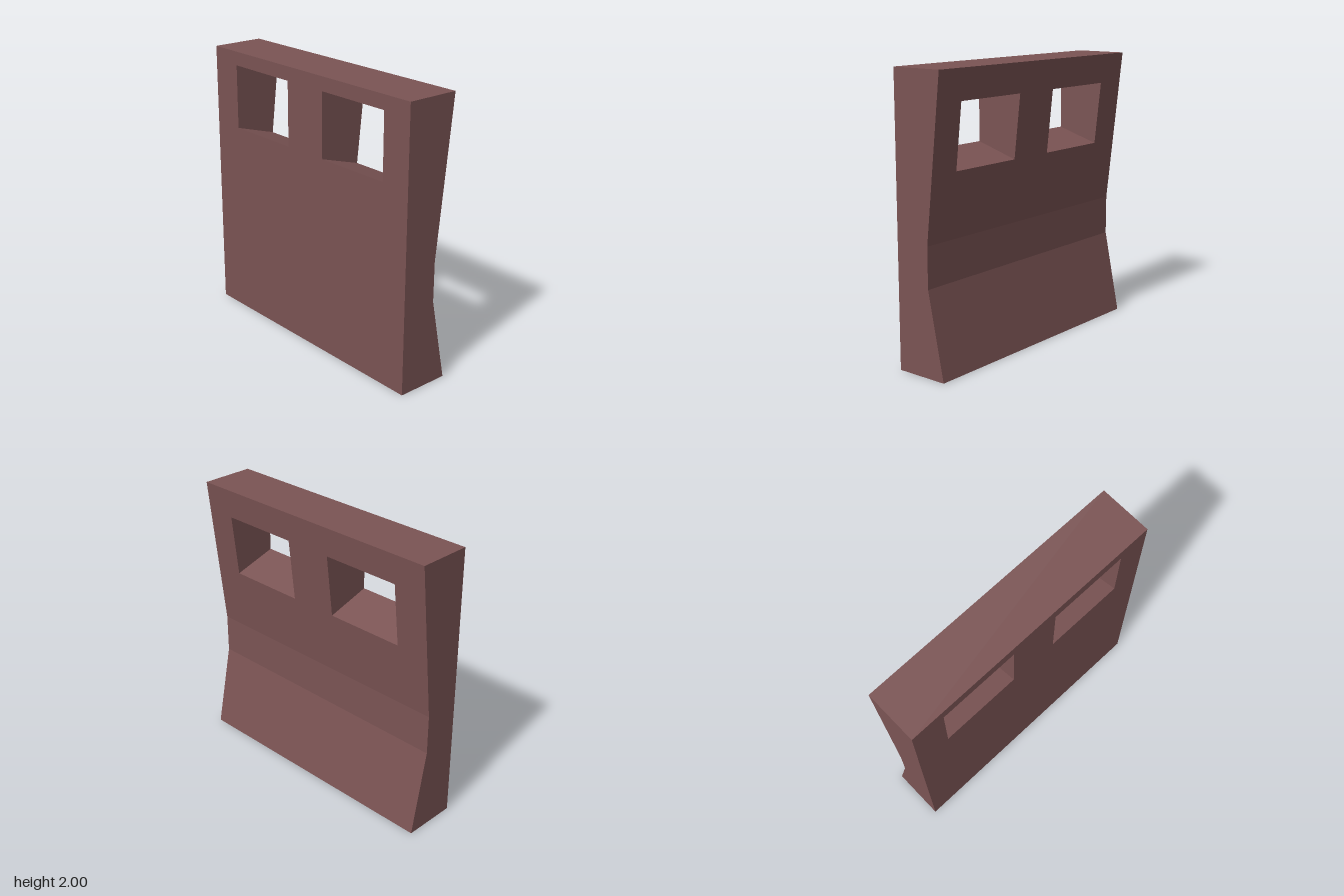
import * as THREE from 'three';
import { mergeGeometries } from 'three/addons/utils/BufferGeometryUtils.js';

const HALF = 1, FRONT = 0.193;
// side profile of the back face as [y, z], bottom to top
const BACK = [[0, -0.193], [0.6, -0.07], [0.885, -0.07], [2, -0.193]];
const WINDOWS = [[-0.755, -0.17], [0.19, 0.775]];
const SILL = [1.435, 1.34], HEAD = [1.9, 1.79]; // height at front, at back

// z of the leaning upper part of the back
const leanZ = (y) => {
  const [[y0, z0], [y1, z1]] = BACK.slice(2);
  return z0 + (z1 - z0) * (y - y0) / (y1 - y0);
};

// flat four-sided face, corners counterclockwise from outside
function quad(a, b, c, d) {
  const g = new THREE.BufferGeometry();
  g.setAttribute('position', new THREE.Float32BufferAttribute([a, b, c, a, c, d].flat(), 3));
  return g;
}

// non-indexed positions only, so every face stays flat
function plain(geometry) {
  const g = geometry.toNonIndexed();
  g.deleteAttribute('uv');
  g.deleteAttribute('normal');
  return g;
}

const rect = (Type, x0, x1, y0, y1) => new Type(
  [[x0, y0], [x1, y0], [x1, y1], [x0, y1]].map(([x, y]) => new THREE.Vector2(x, y)));

// upright face pierced by both windows; side 0 is front, 1 is back
function piercedFace(y0, side) {
  const shape = rect(THREE.Shape, -HALF, HALF, y0, 2);
  WINDOWS.forEach(([a, b]) => shape.holes.push(rect(THREE.Path, a, b, SILL[side], HEAD[side])));
  const g = new THREE.ShapeGeometry(shape);
  if (side) g.scale(-1, 1, 1).index.array.reverse(); // mirrored below to face back
  const p = g.attributes.position;
  for (let i = 0; i < p.count; i++) {
    if (side) p.setX(i, -p.getX(i));
    p.setZ(i, side ? leanZ(p.getY(i)) : FRONT);
  }
  return plain(g);
}

function finish(parts) {
  const g = mergeGeometries(parts);
  g.computeVertexNormals();
  return g;
}

export function createModel() {
  const group = new THREE.Group();
  group.name = 'wallPanel';
  const material = new THREE.MeshStandardMaterial({ color: 0x7b5454 });
  material.name = 'dull reddish brown';
  const add = (name, parts) => {
    const mesh = new THREE.Mesh(finish(parts), material);
    mesh.name = name;
    group.add(mesh);
  };

  // front and upper back, each with two window openings
  add('frontFace', [piercedFace(0, 0)]);
  add('upperBackFace', [piercedFace(BACK[2][0], 1)]);

  // splayed foot and upright waist on the back
  add('lowerBackFaces', [0, 1].map((i) => {
    const [[y0, z0], [y1, z1]] = BACK.slice(i, i + 2);
    return quad([HALF, y0, z0], [-HALF, y0, z0], [-HALF, y1, z1], [HALF, y1, z1]);
  }));

  // profiled ends
  const profile = new THREE.Shape(
    [[FRONT, 0], ...BACK.map(([y, z]) => [z, y]), [FRONT, 2]].map(([z, y]) => new THREE.Vector2(-z, y)));
  add('ends', [1, -1].map((s) => {
    const g = new THREE.ShapeGeometry(profile);
    if (s < 0) g.index.array.reverse();
    g.rotateY(Math.PI / 2).translate(s * HALF, 0, 0);
    return plain(g);
  }));

  // top and bottom
  const zb = BACK[0][1];
  add('topFace', [quad([-HALF, 2, FRONT], [HALF, 2, FRONT], [HALF, 2, zb], [-HALF, 2, zb])]);
  add('bottomFace', [quad([-HALF, 0, zb], [HALF, 0, zb], [HALF, 0, FRONT], [-HALF, 0, FRONT])]);

  // window tunnels sloping down toward the back
  WINDOWS.forEach(([a, b], n) => {
    const ring = (side) => [[a, SILL], [b, SILL], [b, HEAD], [a, HEAD]].map(
      ([x, y]) => [x, y[side], side ? leanZ(y[side]) : FRONT]);
    const f = ring(0), r = ring(1);
    add(n ? 'leftWindowReveal' : 'rightWindowReveal', f.map((p, i) => {
      const j = (i + 1) % 4;
      return quad(p, f[j], r[j], r[i]);
    }));
  });
  return group;
}
